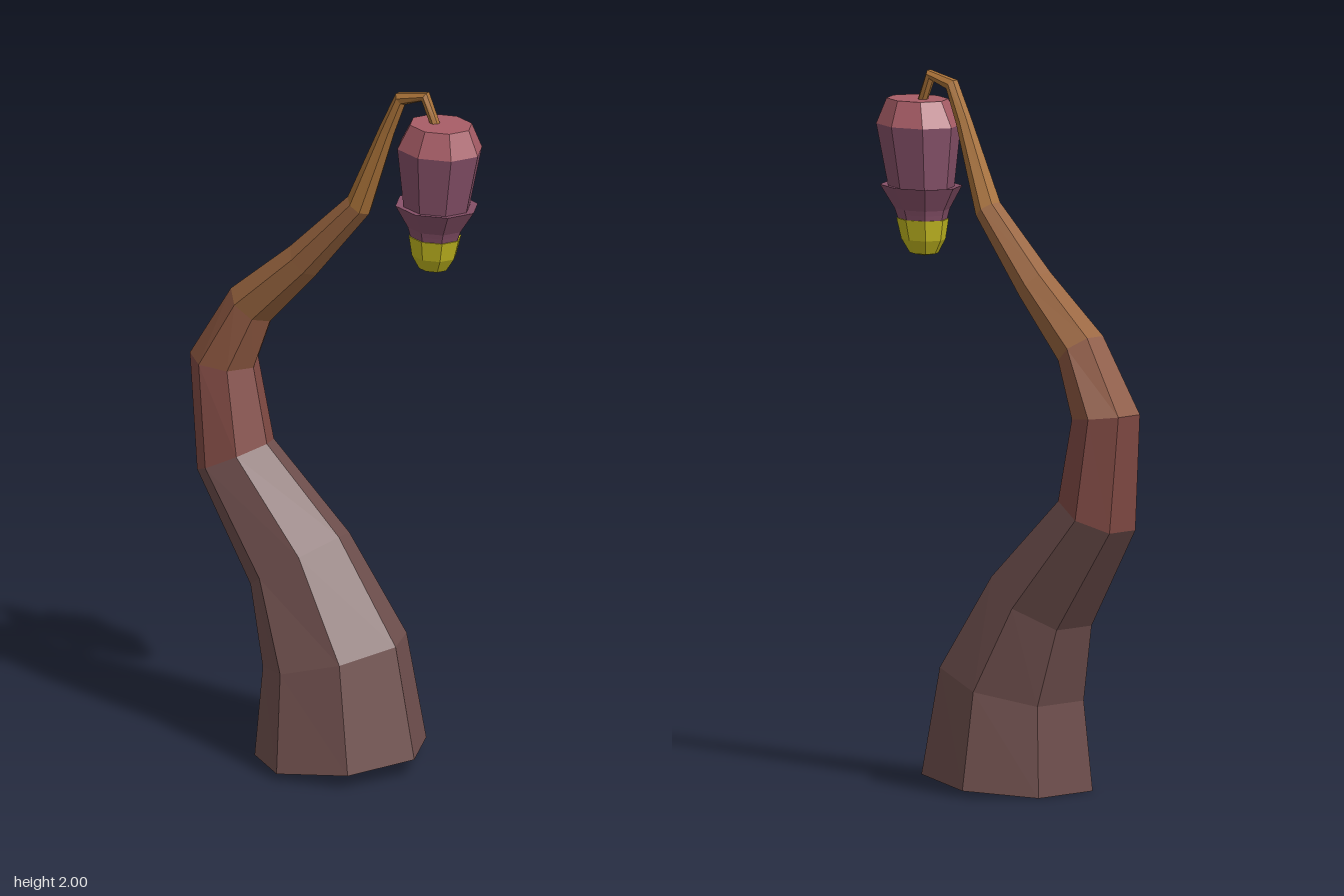
import * as THREE from 'three';

const mat = (name, color, side = THREE.FrontSide) => {
  const m = new THREE.MeshStandardMaterial({ color, side });
  m.name = name;
  return m;
};

// Faceted mesh: unshared corners with one normal per face
function facetedMesh(name, geometry, material) {
  const g = geometry.index ? geometry.toNonIndexed() : geometry;
  g.computeVertexNormals();
  const mesh = new THREE.Mesh(g, material);
  mesh.name = name;
  return mesh;
}

// Stalk rings: outer-bend x, y, inner-bend x, y, centre z
const RINGS = [
  [-0.165, 0.005, 0.3, 0.055, 0],
  [-0.155, 0.26, 0.23, 0.37, -0.01],
  [-0.22, 0.48, 0.03, 0.65, -0.022],
  [-0.42, 0.77, -0.22, 0.87, -0.033],
  [-0.46, 1.1, -0.275, 1.08, -0.047],
  [-0.335, 1.31, -0.225, 1.225, -0.055],
  [-0.145, 1.47, -0.075, 1.39, -0.062],
  [0.04, 1.65, 0.1, 1.605, -0.068],
  [0.14, 1.875, 0.18, 1.855, -0.073],
  [0.19, 1.98, 0.215, 1.95, -0.077],
  [0.29, 2.0, 0.275, 1.972, -0.08],
  [0.328, 1.912, 0.302, 1.905, -0.081],
];
const SIDES = 7;

// Heptagon with one corner on the inner bend and a flat on the outer bend
function ringPoints([lx, ly, rx, ry, z]) {
  const span = 1 + Math.cos(Math.PI / SIDES);
  const ux = (rx - lx) / span, uy = (ry - ly) / span, r = Math.hypot(ux, uy);
  return Array.from({ length: SIDES }, (_, i) => {
    const a = (i / SIDES) * Math.PI * 2, c = Math.cos(a);
    return [rx - ux + ux * c, ry - uy + uy * c, z + r * Math.sin(a)];
  });
}

function stalkSection(first, last) {
  const pos = [];
  for (let k = first; k < last; k++) {
    const a = ringPoints(RINGS[k]), b = ringPoints(RINGS[k + 1]);
    for (let i = 0; i < SIDES; i++) {
      const j = (i + 1) % SIDES;
      pos.push(...a[i], ...b[i], ...b[j], ...a[i], ...b[j], ...a[j]);
    }
  }
  const g = new THREE.BufferGeometry();
  g.setAttribute('position', new THREE.Float32BufferAttribute(pos, 3));
  return g;
}

// Eight-sided pod part from [radius, height] pairs, bottom to top; slightly wide and leaning
function podPart(profile) {
  const g = new THREE.LatheGeometry(profile.map(([r, y]) => new THREE.Vector2(r, y)), 8);
  const p = g.attributes.position;
  for (let i = 0; i < p.count; i++) {
    const y = p.getY(i);
    p.setXYZ(i, p.getX(i) * 1.2 + 0.33 + (y - 1.85) * 0.06, y, p.getZ(i) - 0.081);
  }
  return g;
}

export function createModel() {
  const model = new THREE.Group();
  model.name = 'hangingPodPlant';

  // Tapering stalk, open at the foot, coloured in bands
  const bands = [
    ['stalkBase', 0, 3, 'darkBark', 0x70504e],
    ['stalkBend', 3, 4, 'redBark', 0x824b45],
    ['stalkMiddle', 4, 5, 'brownBark', 0x8d5841],
    ['stalkUpper', 5, 7, 'tanBark', 0x99653f],
    ['stalkTip', 7, 11, 'orangeBark', 0xa87138],
  ];
  const stalk = new THREE.Group();
  stalk.name = 'stalk';
  for (const [name, from, to, colourName, colour] of bands) {
    stalk.add(facetedMesh(name, stalkSection(from, to), mat(colourName, colour, THREE.DoubleSide)));
  }
  model.add(stalk);

  // Hanging pod: cap, body, flared collar and yellow bulb
  const pink = mat('pink', 0xa85d67);
  const mauve = mat('mauve', 0x865068, THREE.DoubleSide);
  const yellow = mat('yellow', 0xc2b820);
  const pod = new THREE.Group();
  pod.name = 'pod';
  pod.add(
    facetedMesh('podCap', podPart([[0.107, 1.845], [0.078, 1.916], [0, 1.916]]), pink),
    facetedMesh('podBody', podPart([[0.062, 1.58], [0.082, 1.66], [0.107, 1.845]]), mauve),
    facetedMesh('podCollar', podPart([[0.062, 1.582], [0.07, 1.61], [0.104, 1.675], [0.084, 1.672]]), mauve),
    facetedMesh('podBulb', podPart([[0, 1.478], [0.036, 1.486], [0.056, 1.525], [0.066, 1.582], [0, 1.582]]), yellow),
  );
  model.add(pod);
  return model;
}
